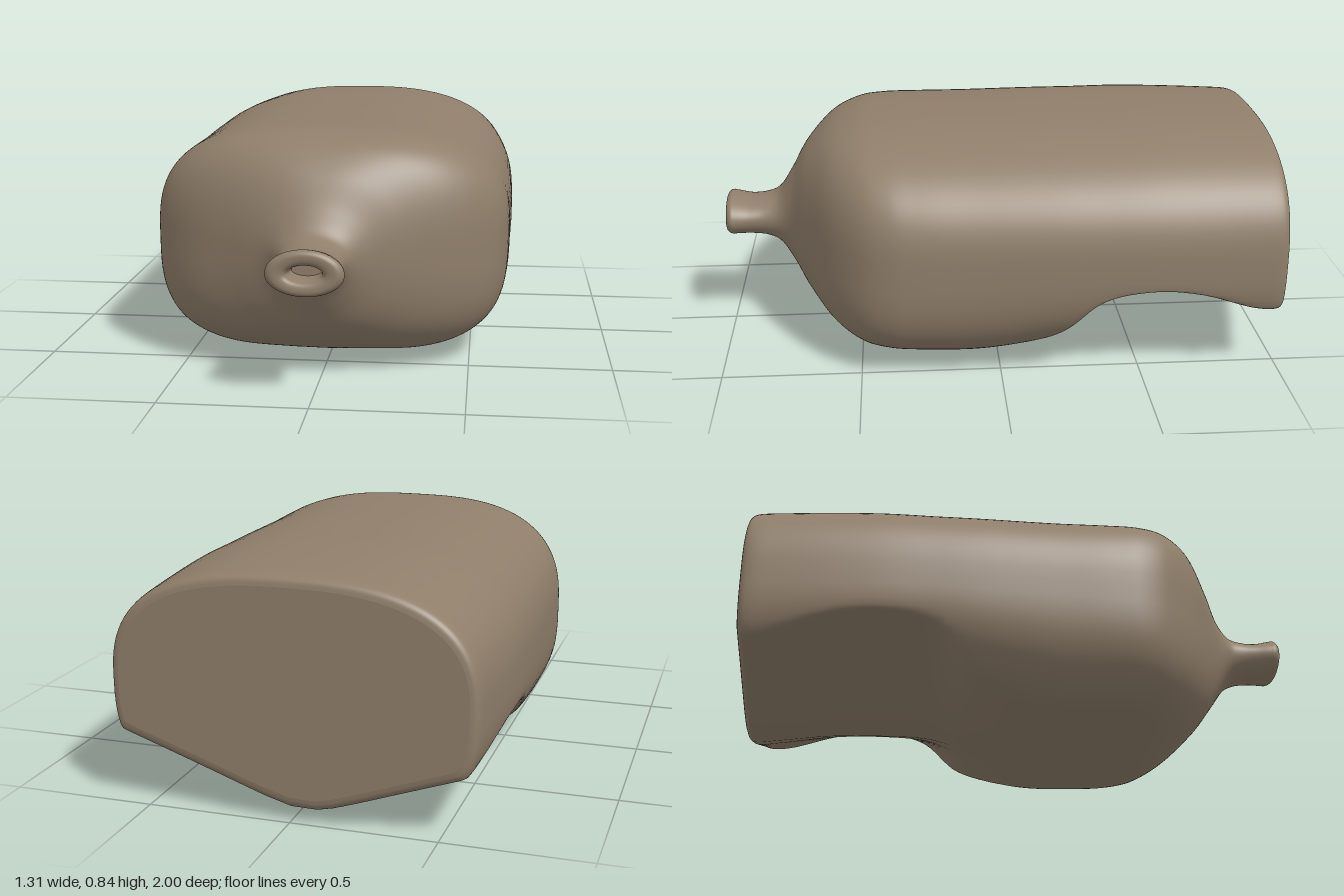
import * as THREE from 'three';

const SIDES = 112, STEPS = 7, AXIS = 0.437;

// Cross-sections, back to front: z, half width, top, bottom, underside scoop, squareness exponent, x centre
const BODY = [
  [-1.0, 0.595, 0.79, 0.08, 0.20, 2.6, 0],
  [-0.992, 0.614, 0.813, 0.055, 0.20, 2.6, 0],
  [-0.965, 0.626, 0.826, 0.04, 0.20, 2.6, 0],
  [-0.88, 0.634, 0.832, 0.05, 0.20, 2.6, 0],
  [-0.7, 0.646, 0.84, 0.07, 0.23, 2.6, 0],
  [-0.52, 0.653, 0.845, 0.076, 0.24, 2.6, 0],
  [-0.34, 0.652, 0.843, 0.073, 0.21, 2.6, 0],
  [-0.2, 0.65, 0.843, 0.043, 0.12, 2.6, 0],
  [-0.05, 0.645, 0.842, 0.014, 0.09, 2.6, 0],
  [0.1, 0.64, 0.84, -0.002, 0.08, 2.62, 0],
  [0.28, 0.635, 0.838, 0.008, 0.07, 2.7, 0],
  [0.4, 0.62, 0.835, 0.024, 0.05, 2.8, 0],
  [0.5, 0.57, 0.826, 0.048, 0.02, 2.85, 0],
  [0.6, 0.46, 0.79, 0.1, 0, 2.75, 0],
  [0.69, 0.295, 0.71, 0.175, 0, 2.4, 0],
  [0.75, 0.18, 0.61, 0.255, 0, 2.1, -0.005],
  [0.8, 0.128, 0.535, 0.325, 0, 2, -0.01],
];
const NECK = [
  [0.85, 0.113, 0.51, 0.352, 0, 2, -0.012],
  [0.91, 0.116, 0.503, 0.362, 0, 2, -0.013],
  [0.96, 0.125, 0.513, 0.364, 0, 2, -0.013],
  [0.985, 0.126, 0.517, 0.365, 0, 2, -0.013],
  [1.0, 0.105, 0.503, 0.378, 0, 2, -0.013],
  [0.995, 0.07, 0.476, 0.405, 0, 2, -0.013],
  [0.97, 0.056, 0.464, 0.414, 0, 2, -0.013],
  [0.92, 0.05, 0.46, 0.418, 0, 2, -0.013],
];

// Uniform Catmull-Rom through the section list
function section(list, t) {
  const last = list.length - 1;
  const i = Math.min(Math.floor(t), last - 1), f = t - i;
  const p = (k) => list[Math.max(0, Math.min(last, k))];
  return list[i].map((_, c) => {
    const a = p(i - 1)[c], b = p(i)[c], d = p(i + 1)[c], e = p(i + 2)[c];
    const m0 = (d - a) / 2, m1 = (e - b) / 2;
    return b + f * (m0 + f * (3 * (d - b) - 2 * m0 - m1 + f * (2 * (b - d) + m0 + m1)));
  });
}

// Superellipse ring, squarer below, whose underside is cut to a shallow, slightly off-centre V
function ring([z, w, top, bottom, scoop, n, cx]) {
  const pts = [];
  for (let j = 0; j < SIDES; j++) {
    const a = (j / SIDES) * Math.PI * 2, s = Math.sin(a);
    const m = s < 0 ? n + (n - 2) * 0.6 : n;
    const pow = (v) => Math.sign(v) * Math.abs(v) ** (2 / m);
    const x = w * pow(Math.cos(a));
    let y = AXIS + (s > 0 ? top - AXIS : AXIS - bottom) * pow(s);
    if (scoop > 0.001 && y < AXIS) {
      const u = x + 0.25 * scoop;
      const cut = bottom + scoop * ((u * u + 0.006) ** 0.45 - 0.006 ** 0.45) / 0.55;
      const d = y - cut;
      y = (y + cut + Math.sqrt(d * d + 0.0004 * scoop)) / 2;
    }
    pts.push([x + cx, y, z]);
  }
  return pts;
}

function geometry(points, index) {
  const g = new THREE.BufferGeometry();
  g.setAttribute('position', new THREE.Float32BufferAttribute(points.flat(), 3));
  g.setIndex(index);
  g.computeVertexNormals();
  return g;
}

function loft(list) {
  const points = [], index = [], rows = (list.length - 1) * STEPS;
  for (let i = 0; i <= rows; i++) points.push(...ring(section(list, i / STEPS)));
  for (let i = 0; i < rows; i++) {
    for (let j = 0; j < SIDES; j++) {
      const k = (j + 1) % SIDES;
      const a = i * SIDES + j, b = i * SIDES + k, c = a + SIDES, d = b + SIDES;
      index.push(a, b, c, b, d, c);
    }
  }
  return geometry(points, index);
}

// Flat disc closing a ring, facing front or back
function cap(sec, front) {
  const points = ring(sec), index = [];
  points.push([sec[6], AXIS, sec[0]]);
  for (let j = 0; j < SIDES; j++) {
    const k = (j + 1) % SIDES;
    index.push(SIDES, front ? j : k, front ? k : j);
  }
  return geometry(points, index);
}

export function createModel() {
  const group = new THREE.Group();
  const clay = new THREE.MeshStandardMaterial({ color: 0x8f7e6a });
  clay.name = 'brown clay';
  const add = (name, geo) => {
    const mesh = new THREE.Mesh(geo, clay);
    mesh.name = name;
    group.add(mesh);
  };
  // Flask body flowing into the neck and lip, then turning into the mouth
  add('flaskBodyAndNeck', loft([...BODY, ...NECK]));
  add('flaskBase', cap(BODY[0], false));
  add('mouthBottom', cap(NECK[NECK.length - 1], true));
  return group;
}
